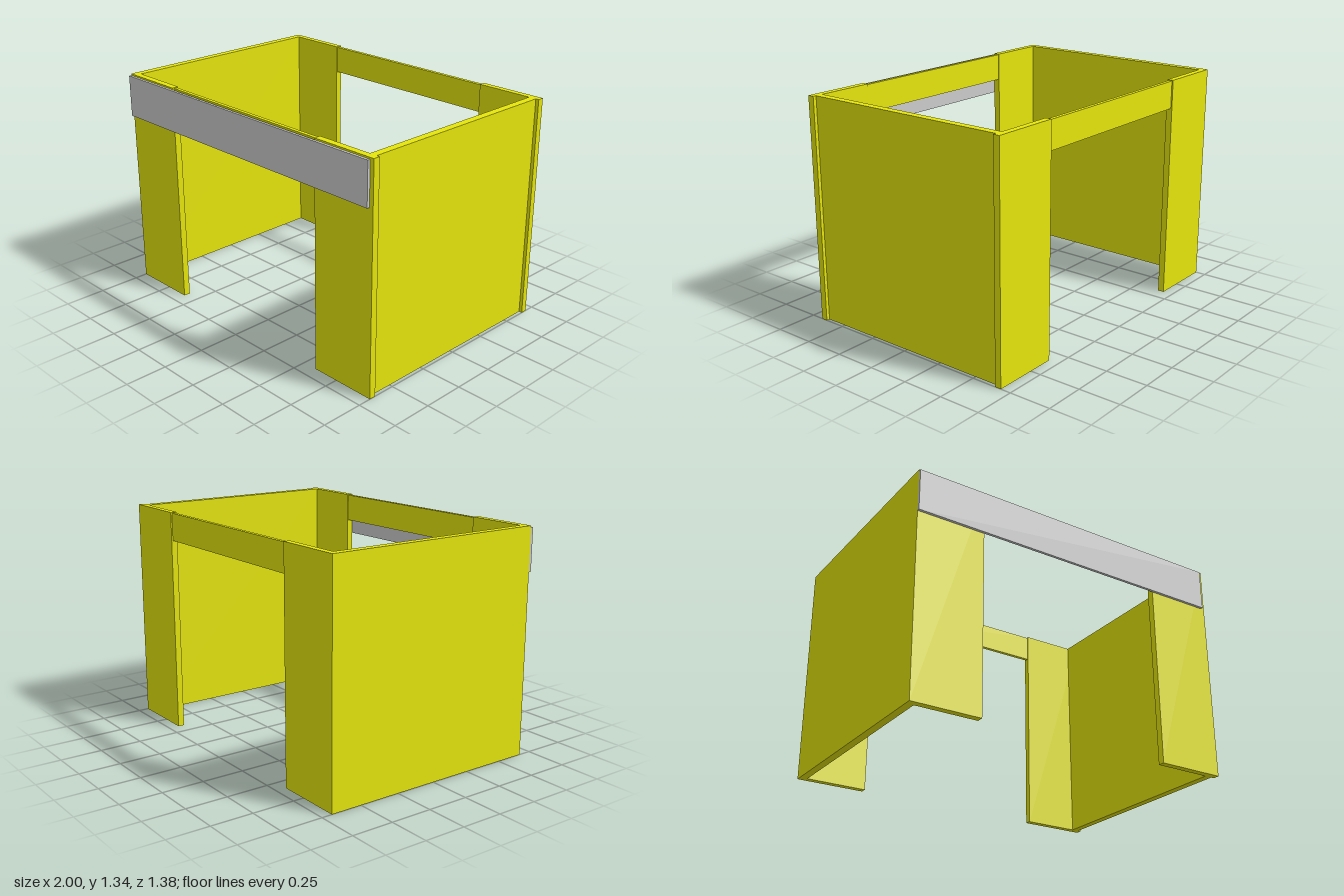
import * as THREE from 'three';

export function createModel() {
  const group = new THREE.Group();
  const yellow = new THREE.MeshStandardMaterial({ color: 0xe5e50d });
  const grey = new THREE.MeshStandardMaterial({ color: 0xcccccc });

  // Box given by its minimum and maximum extents
  function board(name, [x0, x1], [y0, y1], [z0, z1], material = yellow) {
    const mesh = new THREE.Mesh(new THREE.BoxGeometry(x1 - x0, y1 - y0, z1 - z0), material);
    mesh.position.set((x0 + x1) / 2, (y0 + y1) / 2, (z0 + z1) / 2);
    mesh.name = name;
    group.add(mesh);
  }

  const height = 1.34;

  // Full side walls
  board('rightWall', [-1, -0.955], [0, height], [-0.65, 0.632]);
  board('leftWall', [0.935, 0.98], [0, height], [-0.65, 0.632]);

  // Corner panels and the lintel between them, at the front and the back
  const ends = [
    { name: 'front', panel: [0.632, 0.672], lintel: [0.638, 0.66] },
    { name: 'back', panel: [-0.688, -0.65], lintel: [-0.68, -0.657] },
  ];
  for (const { name, panel, lintel } of ends) {
    board(name + 'RightPanel', [-1, -0.59], [0, height], panel);
    board(name + 'LeftPanel', [0.59, 1], [0, height], panel);
    board(name + 'Lintel', [-0.59, 0.59], [1.17, 1.335], lintel);
  }

  // Grey fascia board across the front
  board('fasciaBoard', [-1, 0.975], [1.08, 1.33], [0.672, 0.688], grey);

  return group;
}
